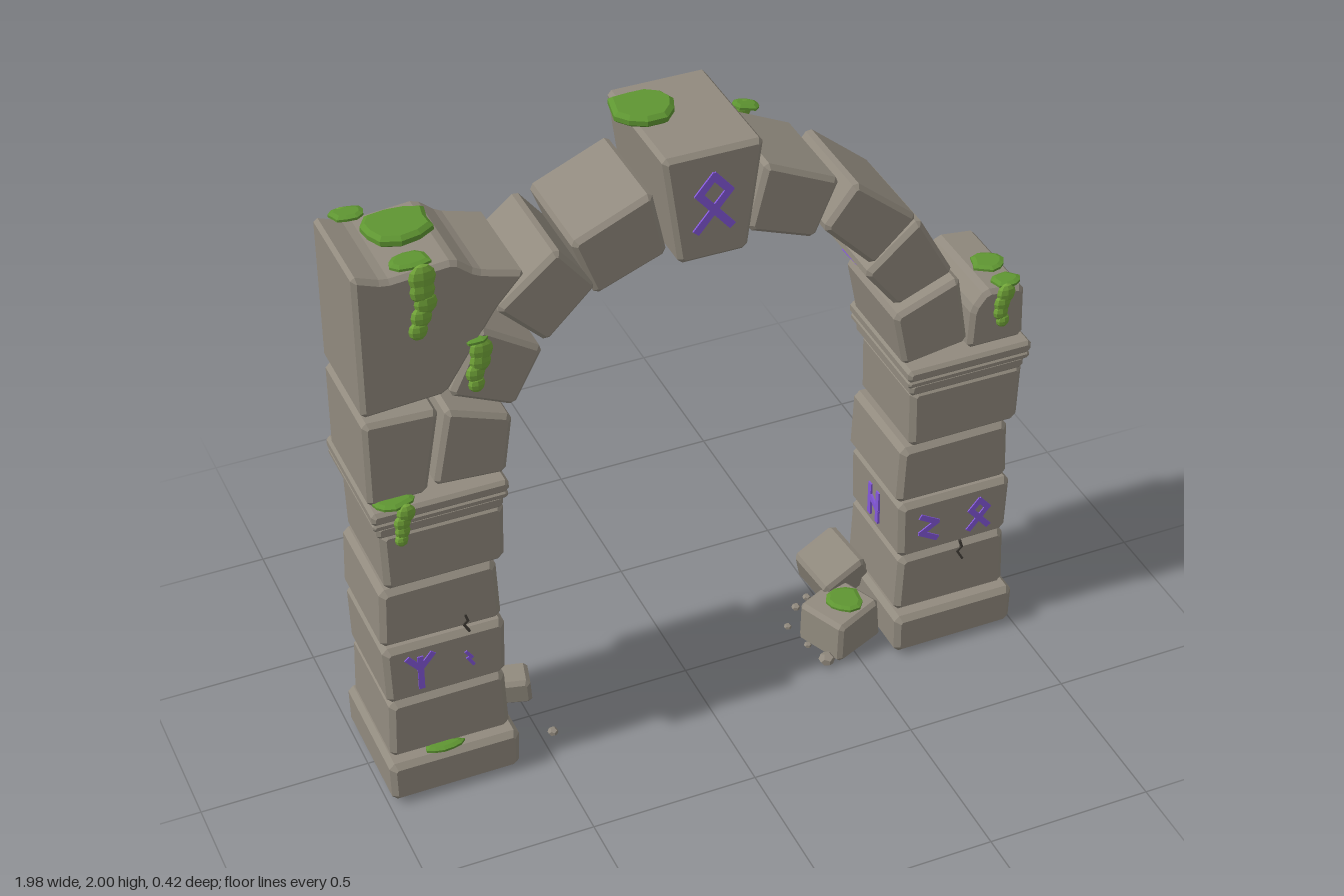
import * as THREE from 'three';

const mat = (name, color) => {
  const m = new THREE.MeshStandardMaterial({ color });
  m.name = name;
  return m;
};

export function createModel() {
  const stone = mat('stone', 0x918a7e);
  const moss = mat('moss', 0x5f9632);
  const vine = mat('hanging moss', 0x74a83a);
  const glow = mat('rune purple', 0x8558dc);
  const dark = mat('crack', 0x45413b);
  vine.flatShading = true;
  const root = new THREE.Group();
  root.name = 'ruinedArch';

  let seed = 7;
  const rnd = () => (seed = (seed * 16807) % 2147483647) / 2147483647;

  const add = (name, geo, material, parent = root) => {
    const m = new THREE.Mesh(geo, material);
    m.name = name;
    parent.add(m);
    return m;
  };

  // Cut every corner of an outline
  const chamfer = (pts, c) => pts.flatMap((p, i) => {
    const v = new THREE.Vector2(...p);
    return [pts[(i + pts.length - 1) % pts.length], pts[(i + 1) % pts.length]].map((q) => {
      const d = new THREE.Vector2(...q).sub(v);
      return v.clone().addScaledVector(d, Math.min(c / d.length(), 0.3));
    });
  });

  // Stone with chamfered edges: front outline pushed through z0..z1
  const block = (name, pts, z0 = -0.157, z1 = 0.163, b = 0.013) => {
    const geo = new THREE.ExtrudeGeometry(new THREE.Shape(chamfer(pts, b)), {
      depth: z1 - z0 - 2 * b, bevelThickness: b, bevelSize: b, bevelOffset: -b, bevelSegments: 1,
    });
    geo.translate(0, 0, z0 + b);
    return add(name, geo, stone);
  };
  const rect = (x0, x1, y0, y1, j = 0) => [[x0 + j, y0], [x1 - j, y0 + j / 2], [x1 + j / 2, y1 - j / 2], [x0 - j / 4, y1]];

  // Pillars: base, four courses and a stepped capital
  const courses = [
    [[-0.97, -0.622, 0.145, 0.347], [0.618, 0.968, 0.145, 0.347]],
    [[-0.978, -0.62, 0.352, 0.55], [0.61, 0.97, 0.352, 0.552]],
    [[-0.975, -0.632, 0.558, 0.757], [0.607, 0.955, 0.558, 0.755]],
    [[-0.962, -0.608, 0.762, 0.962], [0.628, 0.982, 0.76, 0.962]],
  ];
  courses.forEach((pair, i) => pair.forEach((r) => {
    const s = i % 2 ? 0.005 : 0;
    block('pillarBlock', rect(...r, i % 2 ? 0.004 : -0.006), -0.168 + s, 0.163 + s, 0.016);
  }));
  for (const s of [-1, 1]) {
    const x0 = s < 0 ? -0.99 : 0.6;
    block('pillarBase', rect(x0, x0 + 0.39, 0.01, 0.145, 0.002), -0.195, 0.197, 0.016);
    block('capitalLower', rect(x0 + 0.015, x0 + 0.377, 0.96, 1.003), -0.18, 0.182, 0.01);
    block('capitalMiddle', rect(x0 + 0.003, x0 + 0.388, 0.998, 1.022), -0.19, 0.192, 0.007);
    block('capitalUpper', rect(x0, x0 + 0.39, 1.02, 1.06), -0.195, 0.197, 0.01);
  }

  // Arch stones: outer edge first, inner edge is the last two points
  const arch = [
    [[-0.80, 1.075], [-0.755, 1.315], [-0.57, 1.245], [-0.595, 1.06]],
    [[-0.745, 1.36], [-0.65, 1.555], [-0.475, 1.44], [-0.562, 1.275]],
    [[-0.605, 1.595], [-0.43, 1.74], [-0.318, 1.6], [-0.465, 1.455]],
    [[-0.392, 1.745], [-0.162, 1.845], [-0.12, 1.645], [-0.325, 1.565]],
    [[0.162, 1.85], [0.382, 1.745], [0.31, 1.575], [0.113, 1.65]],
    [[0.43, 1.72], [0.622, 1.56], [0.49, 1.435], [0.335, 1.595]],
    [[0.628, 1.55], [0.742, 1.345], [0.57, 1.275], [0.465, 1.41]],
    [[0.762, 1.32], [0.80, 1.09], [0.60, 1.06], [0.563, 1.24]],
  ];
  arch.forEach((p) => block('archStone', p));
  block('keystone', [[-0.148, 1.957], [0.14, 1.957], [0.096, 1.622], [-0.102, 1.622]], -0.195, 0.197);

  // Remains of the wall above the pillars
  block('wallLower', [[-0.987, 1.06], [-0.82, 1.06], [-0.775, 1.325], [-0.987, 1.335]]);
  block('wallUpper', [[-0.987, 1.355], [-0.75, 1.37], [-0.6, 1.6], [-0.515, 1.695], [-0.65, 1.735],
    [-0.71, 1.785], [-0.9, 1.77], [-0.987, 1.803]]);
  block('wallStub', [[0.802, 1.06], [0.978, 1.06], [0.972, 1.235], [0.85, 1.25], [0.808, 1.195]]);

  // Fallen stones
  const fallen = (name, w, h, d, pos, rot) => {
    const m = block(name, [[-w / 2, -h / 2], [w / 2, -h / 2], [w * 0.42, h / 2], [-w * 0.48, h * 0.44]], -d / 2, d / 2, 0.012);
    m.position.set(...pos);
    m.rotation.set(...rot);
  };
  fallen('fallenBlock', 0.19, 0.145, 0.17, [0.485, 0.08, 0.05], [0, 0.4, 0]);
  fallen('leaningBlock', 0.17, 0.15, 0.16, [0.53, 0.155, -0.1], [0.3, 0.25, 0.32]);
  fallen('smallFallenBlock', 0.11, 0.085, 0.1, [-0.512, 0.053, -0.1], [0, -0.25, -0.04]);
  for (const [x, z, r] of [[0.4, 0.14, 0.025], [0.36, -0.05, 0.012], [0.42, -0.12, 0.014],
    [0.47, -0.15, 0.013], [0.38, 0.05, 0.012], [-0.465, 0.1, 0.016]]) {
    const p = add('pebble', new THREE.DodecahedronGeometry(r), stone);
    p.position.set(x, r * 0.8, z);
    p.scale.y = 0.8;
  }

  // Moss cushions: irregular flat pads [x, y, z, rx, rz, tilt]
  const pads = [
    [-0.805, 1.795, -0.01, 0.105, 0.085, 0], [-0.9, 1.785, -0.14, 0.05, 0.035, 0],
    [-0.82, 1.785, 0.13, 0.06, 0.04, 0], [-0.915, 1.06, 0.17, 0.062, 0.035, 0],
    [-0.112, 1.963, -0.035, 0.1, 0.085, 0], [0.24, 1.828, -0.15, 0.045, 0.032, -0.2],
    [0.85, 1.06, -0.18, 0.038, 0.025, 0], [0.915, 1.248, 0.045, 0.056, 0.05, 0],
    [0.92, 1.245, 0.135, 0.045, 0.035, 0], [-0.662, 1.512, 0.15, 0.04, 0.03, 0.1],
    [-0.56, 1.645, 0.08, 0.04, 0.04, 0.6], [-0.82, 0.143, 0.17, 0.06, 0.028, 0],
    [0.8, 0.143, -0.17, 0.05, 0.025, 0], [0.49, 0.155, 0.07, 0.06, 0.055, 0],
  ];
  for (const [x, y, z, rx, rz, tilt] of pads) {
    const t = rx > 0.08 ? 0.034 : 0.018;
    const outline = Array.from({ length: 11 }, (_, i) => {
      const a = (i / 11) * Math.PI * 2, k = 0.78 + rnd() * 0.27;
      return new THREE.Vector2(Math.cos(a) * rx * k, Math.sin(a) * rz * k);
    });
    const geo = new THREE.ExtrudeGeometry(new THREE.Shape(outline), {
      depth: t * 0.4, bevelThickness: t * 0.3, bevelSize: 0.012, bevelOffset: -0.012, bevelSegments: 1,
    });
    geo.rotateX(-Math.PI / 2).translate(0, t * 0.3, 0);
    const m = add('mossPad', geo, moss);
    m.position.set(x, y, z);
    m.rotation.z = tilt;
  }

  // Hanging moss: overlapping flattened lumps [x, top, bottom, z, radius]
  for (const [x, y0, y1, z, r] of [
    [-0.795, 1.76, 1.6, 0.165, 0.036], [-0.655, 1.49, 1.385, 0.165, 0.032], [0.912, 1.23, 1.14, 0.165, 0.028],
    [-0.905, 1.045, 0.96, 0.198, 0.026], [-0.9, 1.77, 1.52, -0.159, 0.03],
    [0.24, 1.82, 1.74, -0.159, 0.024], [0.85, 1.045, 0.95, -0.197, 0.023]]) {
    const n = Math.max(3, Math.round((y0 - y1) / (r * 1.1)));
    for (let i = 0; i <= n; i++) {
      const k = i / n, s = r * (1.05 - 0.3 * k);
      const m = add('hangingMoss', new THREE.SphereGeometry(1, 8, 6), vine);
      m.position.set(x + (rnd() - 0.5) * r * 0.7 - k * r * 0.6, y0 + (y1 - y0) * k, z);
      m.scale.set(s, s * 1.1, 0.014);
    }
  }

  // Carved signs: thin strokes on a plane facing a normal
  const marks = {
    loop: [[0, 0.5, 0.27, 0.18], [0, 0.5, -0.27, 0.18], [0.27, 0.18, -0.3, -0.5], [-0.27, 0.18, 0.3, -0.5]],
    fork: [[0, 0.45, 0, -0.5], [-0.32, 0.5, 0, 0.12], [0.32, 0.5, 0, 0.12]],
    zig: [[-0.25, 0.45, 0.25, 0.15], [0.25, 0.15, -0.25, -0.15], [-0.25, -0.15, 0.25, -0.45]],
    gate: [[-0.25, 0.5, -0.25, -0.5], [0.25, 0.5, 0.25, -0.5], [-0.25, 0.15, 0.25, -0.15]],
    chip: [[-0.1, 0.25, 0.06, 0.02], [-0.06, 0.02, 0.1, -0.25]],
    crack: [[0, 0.5, 0.1, 0.15], [0.1, 0.15, -0.1, -0.05], [-0.1, -0.05, 0.15, -0.5]],
  };
  const carve = (kind, pos, normal, size, w = 0.018, material = glow) => {
    const g = new THREE.Group();
    g.name = kind + 'Mark';
    g.position.set(...pos);
    g.lookAt(new THREE.Vector3(...pos).add(new THREE.Vector3(...normal)));
    for (const [a, b, c, d] of marks[kind]) {
      const len = Math.hypot(c - a, d - b) * size;
      const m = add('stroke', new THREE.BoxGeometry(w, len + w * 0.7, 0.008), material, g);
      m.position.set((a + c) / 2 * size, (b + d) / 2 * size, 0);
      m.rotation.z = Math.atan2(a - c, d - b);
    }
    root.add(g);
  };
  for (const s of [1, -1]) {
    const f = [0, 0, s], z = s > 0 ? 0.168 : -0.164;
    carve('loop', [-0.005, 1.8, s > 0 ? 0.198 : -0.196], f, 0.16, 0.022);
    carve('zig', [0.705, 0.45, z], f, 0.1);
    carve('loop', [0.87, 0.45, z], f, 0.1);
    carve('fork', [-0.875, 0.45, z], f, 0.11);
    carve(s > 0 ? 'chip' : 'loop', [-0.73, 0.45, z], f, 0.1, s > 0 ? 0.009 : 0.018);
  }
  carve('gate', [0.609, 0.45, 0], [-1, 0, 0], 0.1);
  carve('loop', [-0.619, 0.45, 0], [1, 0, 0], 0.09);
  [[1, 'zig'], [3, 'fork'], [4, 'gate'], [6, 'loop']].forEach(([i, kind]) => {
    const [, , c, d] = arch[i];
    carve(kind, [(c[0] + d[0]) / 2, (c[1] + d[1]) / 2, 0], [d[1] - c[1], c[0] - d[0], 0].map((v) =>
      v * Math.sign((d[1] - c[1]) * -c[0] + (c[0] - d[0]) * (1 - c[1]))), 0.11);
  });

  // Cracks in the pillars
  carve('crack', [0.815, 0.325, 0.163], [0, 0, 1], 0.07, 0.007, dark);
  carve('crack', [-0.735, 0.575, 0.163], [0, 0, 1], 0.06, 0.007, dark);
  carve('crack', [-0.8, 0.55, -0.166], [0, 0, -1], 0.1, 0.007, dark);
  carve('crack', [-0.631, 0.61, 0.05], [1, 0, 0], 0.12, 0.007, dark);
  return root;
}
